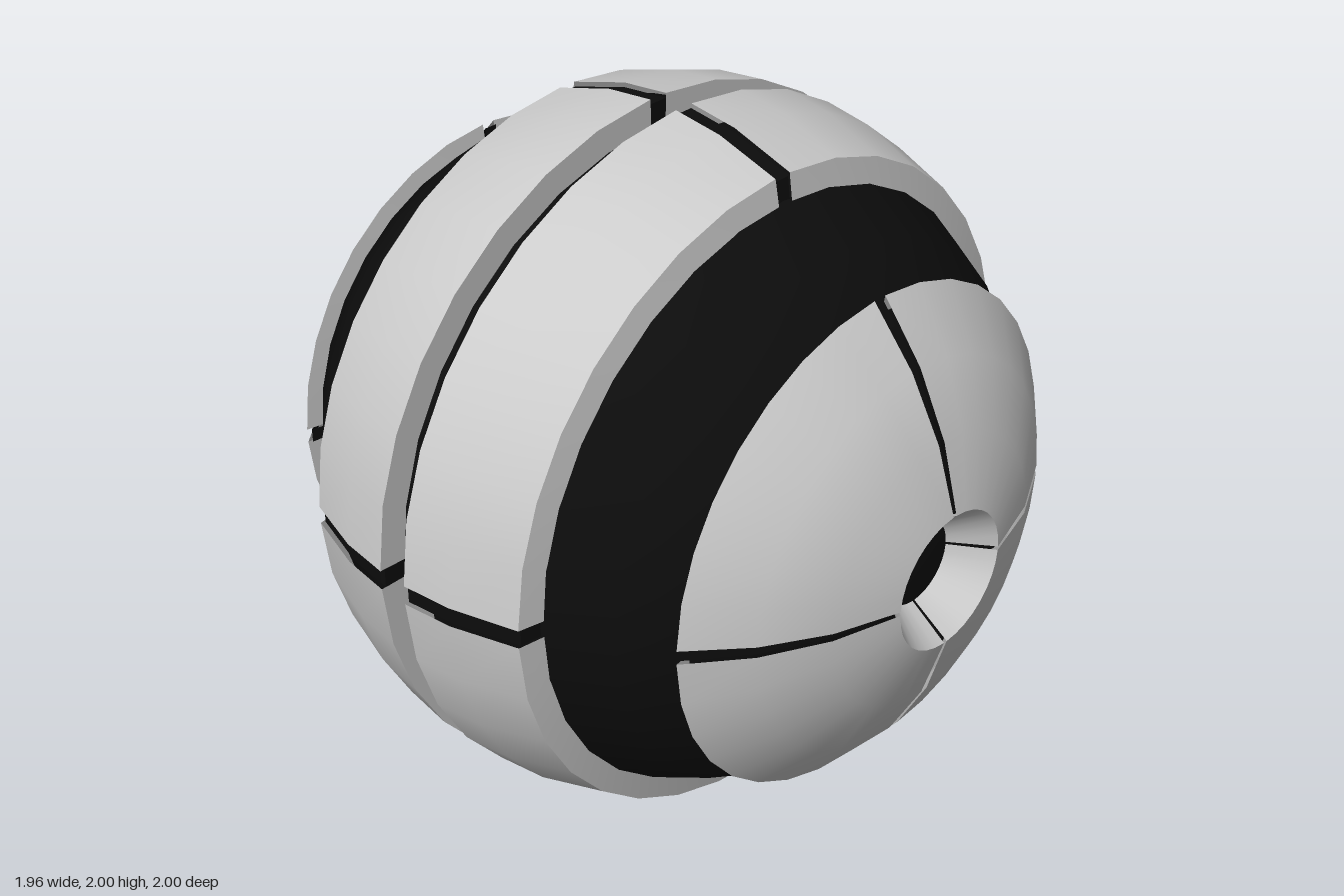
import * as THREE from 'three';
import { toCreasedNormals } from 'three/addons/utils/BufferGeometryUtils.js';

const STEP = Math.PI / 16; // facet angle of the sphere
const GAP = 0.028;         // half angle of the seams between plates

// Point [radius, x] on the unit sphere, at an angle above the middle plane
const onSphere = (a) => [Math.cos(a), Math.sin(a)];

// Profile of [radius, x] pairs turned around the x axis
function turned(profile, segments, start = 0, length = Math.PI * 2, scale = 1) {
  const points = profile.map(([r, x]) => new THREE.Vector2(r * scale, x * scale));
  const geometry = new THREE.LatheGeometry(points, segments, start, length);
  geometry.rotateZ(-Math.PI / 2);
  return toCreasedNormals(geometry, 0.5);
}

export function createModel() {
  const model = new THREE.Group();
  model.name = 'platedSphere';
  const grey = new THREE.MeshStandardMaterial({ color: 0xcccccc, side: THREE.DoubleSide });
  const black = new THREE.MeshStandardMaterial({ color: 0x0c0c0c, side: THREE.DoubleSide });

  const add = (parent, name, geometry, material) => {
    const mesh = new THREE.Mesh(geometry, material);
    mesh.name = name;
    parent.add(mesh);
  };

  // Dark core, flat at both poles
  const half = [[0.92, 0.05], [0.855, 0.39], [0.77, 0.56], [0.655, 0.705], [0.45, 0.8], [0.12, 0.87], [0, 0.87]];
  const core = [...half.map(([r, x]) => [r, -x]).reverse(), ...half];
  add(model, 'core', turned(core, 32), black);

  // Middle band beside the central groove, and end cap with a conical socket
  const profiles = {
    band: [[0.9, 0.045], [0.999, 0.045], onSphere(STEP), onSphere(2 * STEP), [0.85, 0.395]],
    cap: [[0.64, 0.698], ...[4, 5, 6, 7].map((k) => onSphere(k * STEP)), [0.12, 0.87]],
  };

  for (const side of ['left', 'right']) {
    const shell = new THREE.Group();
    shell.name = side + 'Shell';
    if (side === 'right') shell.rotation.y = Math.PI;
    for (const [name, profile] of Object.entries(profiles)) {
      for (let q = 0; q < 4; q++) {
        const start = q * Math.PI / 2;
        add(shell, name + 'Plate', turned(profile, 8, start + GAP, Math.PI / 2 - 2 * GAP), grey);
        // Dark strip filling the seam, slightly below the plates
        add(shell, name + 'Seam', turned(profile, 1, start - GAP, 2 * GAP, 0.987), black);
      }
    }
    model.add(shell);
  }

  model.position.y = 1;
  const root = new THREE.Group();
  root.name = 'model';
  root.add(model);
  return root;
}
